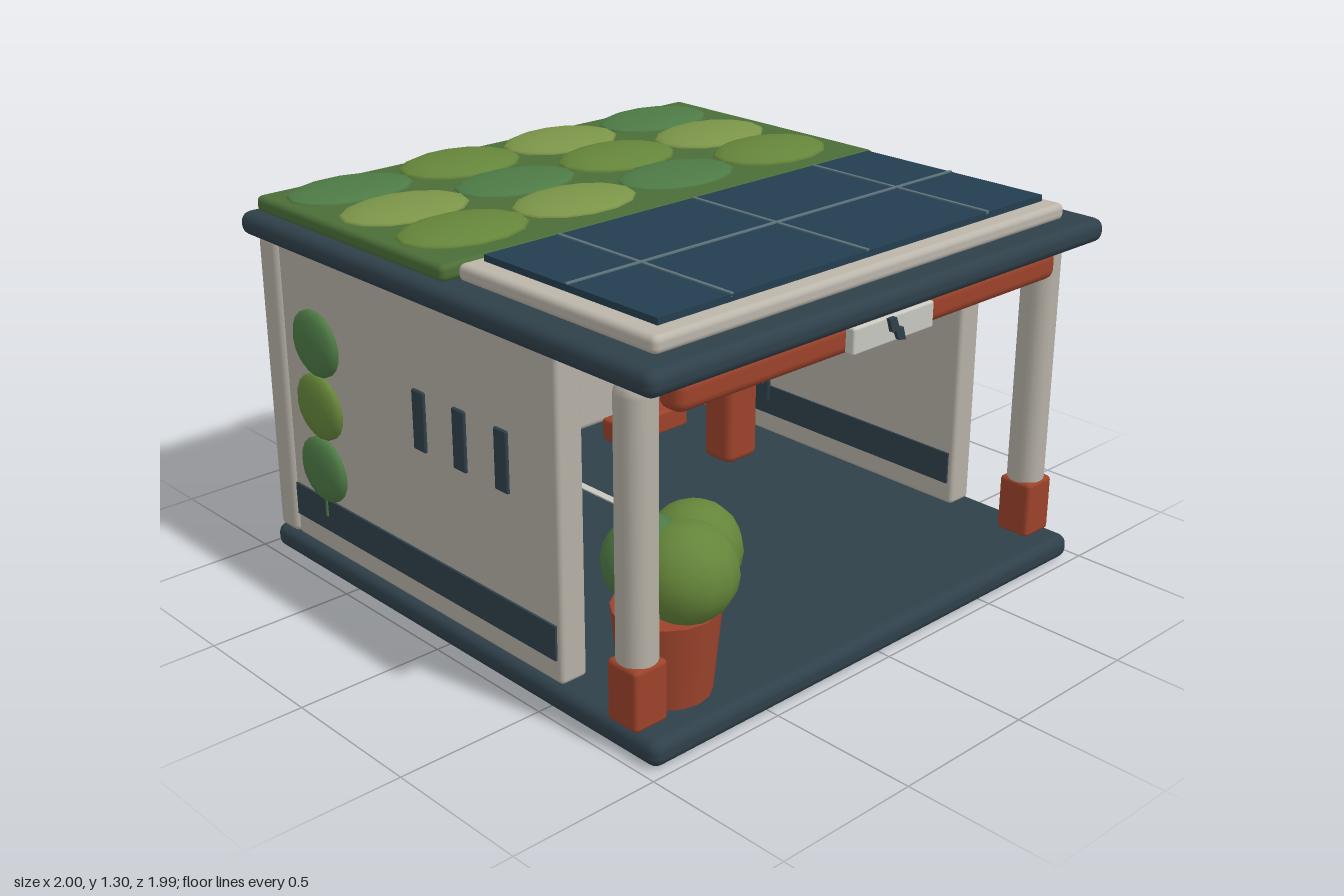
import * as THREE from 'three';
import { RoundedBoxGeometry } from 'three/addons/geometries/RoundedBoxGeometry.js';

const mat = (color) => new THREE.MeshStandardMaterial({ color });

export function createModel() {
  const root = new THREE.Group();
  const dark = mat(0x2f404a), red = mat(0x9c432b), wall = mat(0xb5b0a5), pale = mat(0xbbb5aa);
  const glass = mat(0x243e50), line = mat(0x5c737a), bed = mat(0x4b6e38), white = mat(0xc8c8c0);
  const amber = mat(0xc9a456), greens = [mat(0x4d7a45), mat(0x65853a), mat(0x7b9448)];

  const add = (name, geo, material, x = 0, y = 0, z = 0, parent = root) => {
    const m = new THREE.Mesh(geo, material);
    m.name = name;
    m.position.set(x, y, z);
    parent.add(m);
    return m;
  };
  // box given by its extents on each axis; r > 0 rounds the edges
  const box = (name, material, [x0, x1], [y0, y1], [z0, z1], r = 0, parent = root) => {
    const w = x1 - x0, h = y1 - y0, d = z1 - z0;
    const geo = r ? new RoundedBoxGeometry(w, h, d, 3, r) : new THREE.BoxGeometry(w, h, d);
    return add(name, geo, material, (x0 + x1) / 2, (y0 + y1) / 2, (z0 + z1) / 2, parent);
  };
  const blob = (name, material, [x, y, z], [sx, sy, sz], parent = root) => {
    const m = add(name, new THREE.SphereGeometry(1, 14, 10), material, x, y, z, parent);
    m.scale.set(sx, sy, sz);
    return m;
  };

  // floor slab, roof slab and back wall
  box('floorSlab', dark, [-0.97, 0.97], [0, 0.085], [-0.97, 0.975], 0.035);
  box('roofSlab', dark, [-1, 1], [1.135, 1.215], [-0.993, 0.993], 0.035);
  box('backWall', wall, [-0.955, 0.955], [0.08, 1.14], [-0.96, -0.85], 0.025);

  // side walls, stripes, slot windows and front columns
  for (const s of [-1, 1]) {
    const span = (a, b) => (s > 0 ? [a, b] : [-b, -a]);
    box('sideWall', wall, span(0.85, 0.948), [0.085, 1.14], [-0.85, 0.55], 0.015);
    box('wallStripe', dark, span(0.842, 0.956), [0.165, 0.28], [-0.835, 0.53]);
    for (const z of [-0.1, 0.1, 0.3]) {
      box('slotWindow', dark, span(0.93, 0.958), [0.635, 0.835], [z - 0.03, z + 0.03], 0.006);
    }
    box('frontColumn', wall, span(0.84, 0.957), [0.08, 1.14], [0.765, 0.883], 0.05);
    box('columnSleeve', red, span(0.837, 0.963), [0.08, 0.28], [0.762, 0.888], 0.015);
    box('wheelStop', red, span(0.34, 0.68), [0.08, 0.17], [-0.74, -0.62], 0.012);
  }
  box('bayLine', white, [-0.015, 0.015], [0.08, 0.09], [-0.76, 0.33]);

  // front beam with sign and bolt
  box('frontBeam', red, [-0.837, 0.837], [1.03, 1.135], [0.83, 0.93], 0.035);
  box('signPlate', white, [-0.18, 0.178], [1.04, 1.125], [0.925, 0.962], 0.008);
  const bolt = new THREE.Shape([[-0.04, 0.04], [-0.01, 0.04], [0.005, 0.003], [0.022, 0.003],
    [0.036, -0.04], [0.006, -0.035], [-0.01, -0.003], [-0.026, -0.003]]
    .map(([x, y]) => new THREE.Vector2(x, y)));
  add('signBolt', new THREE.ExtrudeGeometry(bolt, { depth: 0.02, bevelEnabled: false }), dark, 0, 1.082, 0.956);

  // framed panel on the back wall
  box('backFrame', red, [-0.235, 0.235], [0.445, 0.79], [-0.983, -0.94], 0.012);
  box('backPanel', pale, [-0.175, 0.175], [0.53, 0.745], [-0.989, -0.95], 0.005);
  for (const x of [-0.1, 0, 0.1]) {
    box('backPanelBar', dark, [x - 0.016, x + 0.016], [0.59, 0.705], [-0.994, -0.97]);
  }

  // planted roof
  box('roofBed', bed, [-0.95, 0.95], [1.21, 1.265], [-0.957, 0.047], 0.02);
  for (let r = 0; r < 3; r++) {
    for (let c = 0; c < 4; c++) {
      const wob = ((r * 5 + c * 3) % 4) * 0.004;
      blob('roofMound', greens[(c - r + 3) % 3], [-0.685 + c * 0.45, 1.262, -0.8 + r * 0.302],
        [0.232, 0.028 + wob, 0.155 + wob]);
    }
  }

  // solar array
  box('solarFrame', pale, [-0.897, 0.897], [1.21, 1.265], [0.05, 0.9], 0.02);
  box('solarPanel', glass, [-0.84, 0.84], [1.272, 1.293], [0.108, 0.848]);
  box('solarMount', dark, [-0.7, 0.7], [1.26, 1.275], [0.2, 0.76]);
  for (const x of [-0.56, 0, 0.56]) {
    box('solarDivider', line, [x - 0.006, x + 0.006], [1.285, 1.297], [0.108, 0.848]);
  }
  box('solarDivider', line, [-0.84, 0.84], [1.285, 1.297], [0.469, 0.481]);

  // potted shrub
  add('pot', new THREE.CylinderGeometry(0.165, 0.138, 0.28, 16), red, -0.722, 0.22, 0.755);
  blob('shrubFront', greens[1], [-0.715, 0.49, 0.83], [0.157, 0.152, 0.157]);
  blob('shrubSide', greens[1], [-0.603, 0.495, 0.745], [0.147, 0.147, 0.147]);
  blob('shrubBack', greens[0], [-0.765, 0.505, 0.725], [0.14, 0.14, 0.14]);

  // climbing plant on the right wall
  add('vineStem', new THREE.CylinderGeometry(0.008, 0.008, 0.66, 8), greens[0], -0.953, 0.55, -0.65);
  [0.835, 0.615, 0.39].forEach((y, i) => {
    const leaf = blob('vineLeaf', greens[i % 2], [-0.955, y, -0.65], [0.035, 0.112, 0.125]);
    leaf.rotation.x = 0.3;
  });

  // charging post with hose
  const charger = new THREE.Group();
  charger.name = 'charger';
  charger.position.set(0.595, 0, -0.3);
  root.add(charger);
  box('chargerPost', red, [-0.078, 0.078], [0.08, 0.685], [-0.07, 0.07], 0.03, charger);
  box('chargerHead', pale, [-0.097, 0.097], [0.51, 0.68], [-0.04, 0.1], 0.03, charger);
  box('chargerLight', amber, [-0.045, 0.045], [0.515, 0.58], [0.085, 0.105], 0, charger);
  box('plugHolder', red, [0.04, 0.09], [0.42, 0.51], [0, 0.09], 0.01, charger);
  const hose = new THREE.CatmullRomCurve3([[0.07, 0.47, 0.08], [0.085, 0.4, 0.1], [0.105, 0.3, 0.08]]
    .map((p) => new THREE.Vector3(...p)));
  add('hose', new THREE.TubeGeometry(hose, 12, 0.012, 8), dark, 0, 0, 0, charger);

  return root;
}
